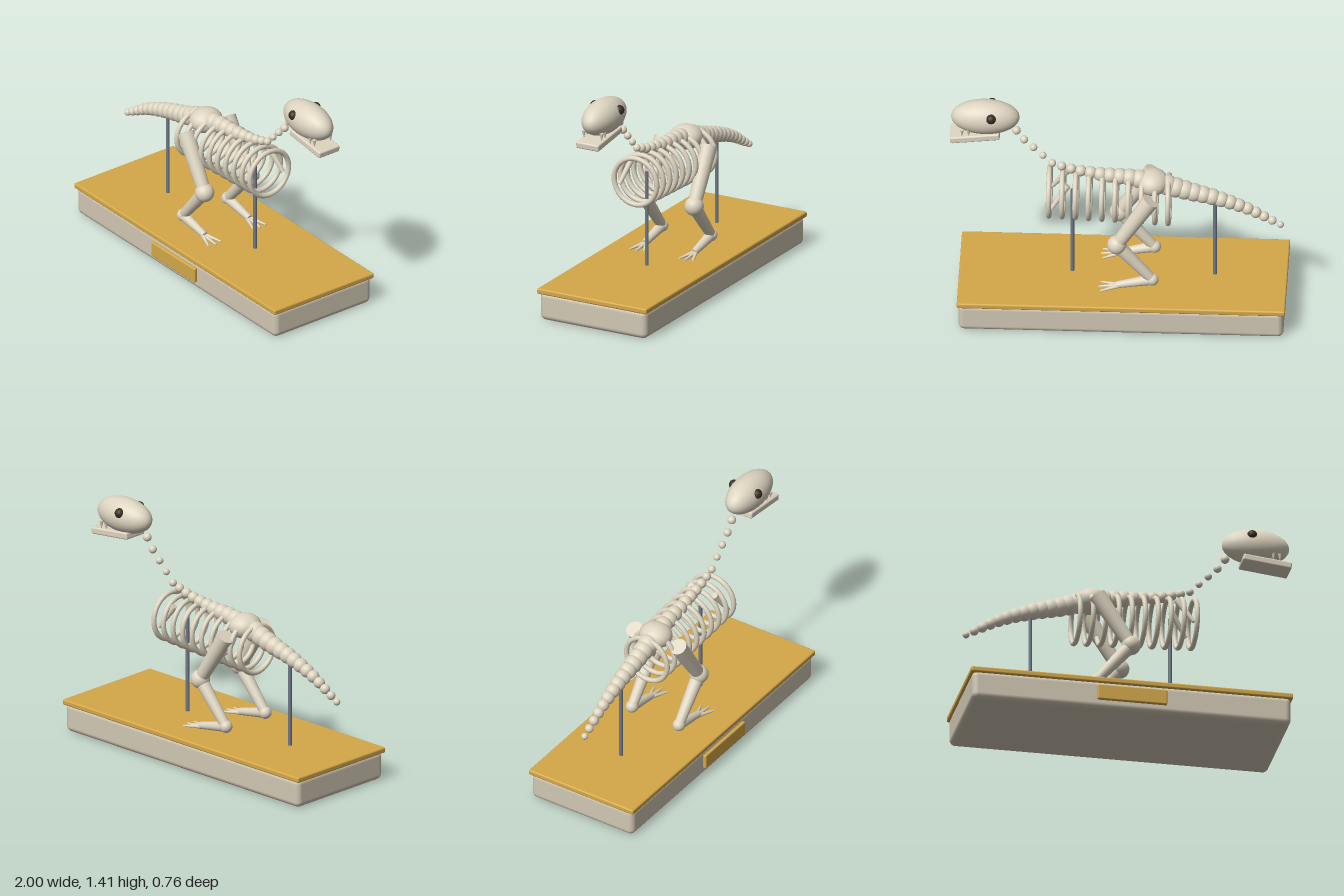
import * as THREE from 'three';
import { RoundedBoxGeometry } from 'three/addons/geometries/RoundedBoxGeometry.js';

const material = (color) => new THREE.MeshStandardMaterial({ color });
const V = (x, y, z = 0) => new THREE.Vector3(x, y, z);

export function createModel() {
  const bone = material(0xddd4c0);
  const stone = material(0xd2c8b4);
  const gold = material(0xd4a849);
  const steel = material(0x6f7a88);
  const dark = material(0x3a2e22);

  const model = new THREE.Group();
  model.name = 'skeletonDisplay';

  function add(parent, name, geometry, mat, position) {
    const mesh = new THREE.Mesh(geometry, mat);
    mesh.name = name;
    mesh.position.copy(position);
    parent.add(mesh);
    return mesh;
  }
  const ball = (parent, name, p, r, mat = bone) =>
    add(parent, name, new THREE.SphereGeometry(r, 24, 16), mat, p);

  // Tapered rod between two points
  function rod(parent, name, a, b, ra, rb, mat = bone) {
    const dir = b.clone().sub(a);
    const mesh = add(parent, name, new THREE.CylinderGeometry(rb, ra, dir.length(), 20), mat,
      a.clone().add(b).multiplyScalar(0.5));
    mesh.quaternion.setFromUnitVectors(V(0, 1, 0), dir.normalize());
    return mesh;
  }

  function group(name, parent = model) {
    const g = new THREE.Group();
    g.name = name;
    parent.add(g);
    return g;
  }

  // Display plinth
  const plinth = group('plinth');
  add(plinth, 'plinthBody', new RoundedBoxGeometry(1.925, 0.18, 0.724, 4, 0.035), stone, V(-0.027, 0.09, -0.006));
  add(plinth, 'plinthTop', new RoundedBoxGeometry(1.945, 0.035, 0.744, 3, 0.01), gold, V(-0.027, 0.1825, -0.006));
  add(plinth, 'plaque', new RoundedBoxGeometry(0.42, 0.095, 0.024, 3, 0.008), gold, V(-0.028, 0.0975, 0.366));

  const skeleton = group('skeleton');
  skeleton.position.z = -0.005;

  // Support posts
  rod(skeleton, 'rearPost', V(-0.57, 0.2), V(-0.57, 0.74), 0.011, 0.011, steel);
  rod(skeleton, 'frontPost', V(0.275, 0.2), V(0.275, 0.79), 0.011, 0.011, steel);

  // Vertebrae strung along a curve, radius changing from r0 to r1
  function vertebrae(name, points, count, r0, r1, power = 1) {
    const g = group(name, skeleton);
    const curve = new THREE.CatmullRomCurve3(points);
    for (let i = 0; i < count; i++) {
      const t = i / (count - 1);
      ball(g, 'vertebra', curve.getPointAt(t), r0 + (r1 - r0) * t ** power);
    }
  }
  vertebrae('tail', [V(-0.957, 0.572), V(-0.75, 0.688), V(-0.57, 0.756), V(-0.39, 0.806), V(-0.23, 0.86)],
    15, 0.021, 0.066, 0.8);
  vertebrae('backbone', [V(-0.18, 0.868), V(-0.06, 0.888), V(0.12, 0.908), V(0.28, 0.94), V(0.395, 0.977)],
    11, 0.06, 0.023);
  vertebrae('neck', [V(0.45, 1.032), V(0.505, 1.088), V(0.562, 1.145), V(0.607, 1.21)], 4, 0.021, 0.026);

  // Pelvis
  const pelvis = ball(skeleton, 'pelvis', V(-0.2, 0.86), 1);
  pelvis.scale.set(0.095, 0.075, 0.102);

  // Rib hoops
  const ribs = group('ribCage', skeleton);
  for (let i = 0; i < 10; i++) {
    const rib = add(ribs, 'rib', new THREE.TorusGeometry(0.145, 0.0155, 12, 48), bone,
      V(-0.295 + 0.0785 * i, 0.735 + 0.0038 * i));
    rib.rotation.y = Math.PI / 2;
  }

  // Legs and arms on both sides
  for (const s of [1, -1]) {
    const leg = group(s > 0 ? 'leftLeg' : 'rightLeg', skeleton);
    const hip = V(-0.195, 0.83, s * 0.155);
    const knee = V(0.005, 0.515, s * 0.169);
    const ankle = V(-0.205, 0.268, s * 0.167);
    const toeRoot = V(0.005, 0.222, s * 0.167);
    rod(leg, 'thigh', hip, knee, 0.052, 0.04);
    ball(leg, 'knee', knee, 0.058);
    rod(leg, 'shin', knee, ankle, 0.042, 0.03);
    ball(leg, 'ankle', ankle, 0.038);
    rod(leg, 'foot', ankle, toeRoot, 0.033, 0.021);
    for (const k of [-1, 0, 1]) {
      rod(leg, 'toe', toeRoot.clone().add(V(-0.01, -0.003, k * 0.008)),
        V(0.112 - Math.abs(k) * 0.01, 0.207, s * 0.167 + k * 0.047), 0.013, 0.005);
    }
    rod(skeleton, s > 0 ? 'leftArm' : 'rightArm',
      V(0.3, 0.875, s * 0.083), V(0.395, 0.73, s * 0.117), 0.02, 0.012);
  }

  // Skull, jaw, eyes and teeth
  const head = group('head', skeleton);
  const skull = add(head, 'skull', new THREE.SphereGeometry(1, 40, 28), bone, V(0.791, 1.305));
  skull.scale.set(0.203, 0.106, 0.103);
  const jaw = add(head, 'jaw', new RoundedBoxGeometry(0.295, 0.042, 0.154, 3, 0.01), bone, V(0.851, 1.19));
  jaw.rotation.z = -0.115;
  for (const s of [1, -1]) {
    ball(head, 'eye', V(0.754, 1.345, s * 0.083), 0.03, dark);
    for (const x of [0.888, 0.927]) {
      const tooth = add(head, 'tooth', new THREE.ConeGeometry(0.013, 0.05, 12), bone, V(x, 1.222, s * 0.06));
      tooth.rotation.z = Math.PI;
    }
  }

  return model;
}
